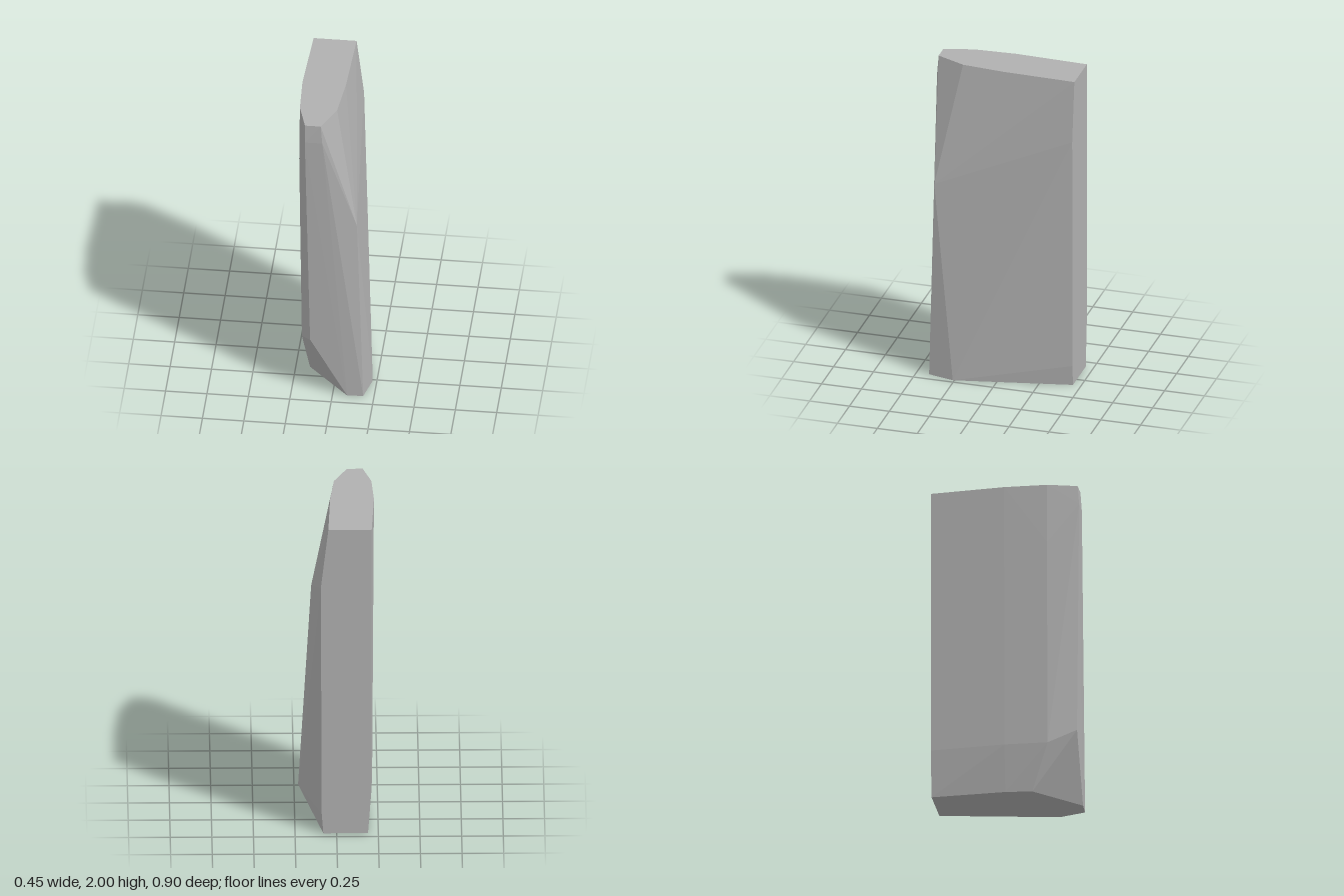
import * as THREE from 'three';
import { ConvexGeometry } from 'three/addons/geometries/ConvexGeometry.js';

export function createModel() {
  const group = new THREE.Group();
  group.name = 'facetedSlab';
  const stone = new THREE.MeshStandardMaterial({ color: 0xb0b0b0 });
  stone.name = 'stone grey';
  stone.flatShading = true;

  const corners = [];
  const ring = (y, outline) => outline.forEach(([x, z]) => corners.push(new THREE.Vector3(x, y, z)));

  // Flat top: square back, tapered front
  ring(2, [[-0.21, -0.45], [0.05, -0.45], [0.035, 0], [0.01, 0.26],
    [-0.07, 0.437], [-0.165, 0.437], [-0.215, 0.26], [-0.228, 0]]);
  // Slight bulge of the nose and flank under the top
  ring(1.88, [[-0.165, 0.446], [-0.06, 0.444]]);
  ring(1.62, [[0.095, -0.45], [-0.219, 0.26]]);
  // Shoulder where the chamfer on the left ends
  ring(1.25, [[0.145, 0.4]]);
  // Lower corners, where the right flank turns inward
  ring(0.4, [[-0.135, 0.428]]);
  ring(0.3, [[-0.21, -0.45], [-0.218, 0], [-0.203, 0.26]]);
  ring(0.13, [[0.09, -0.45]]);
  // Flat base
  ring(0, [[0.08, -0.45], [0.225, 0.26], [0.185, 0.42], [0.088, 0.425],
    [-0.165, 0.16], [-0.185, 0], [-0.188, -0.45]]);

  const slab = new THREE.Mesh(new ConvexGeometry(corners), stone);
  slab.name = 'slab';
  group.add(slab);
  return group;
}
